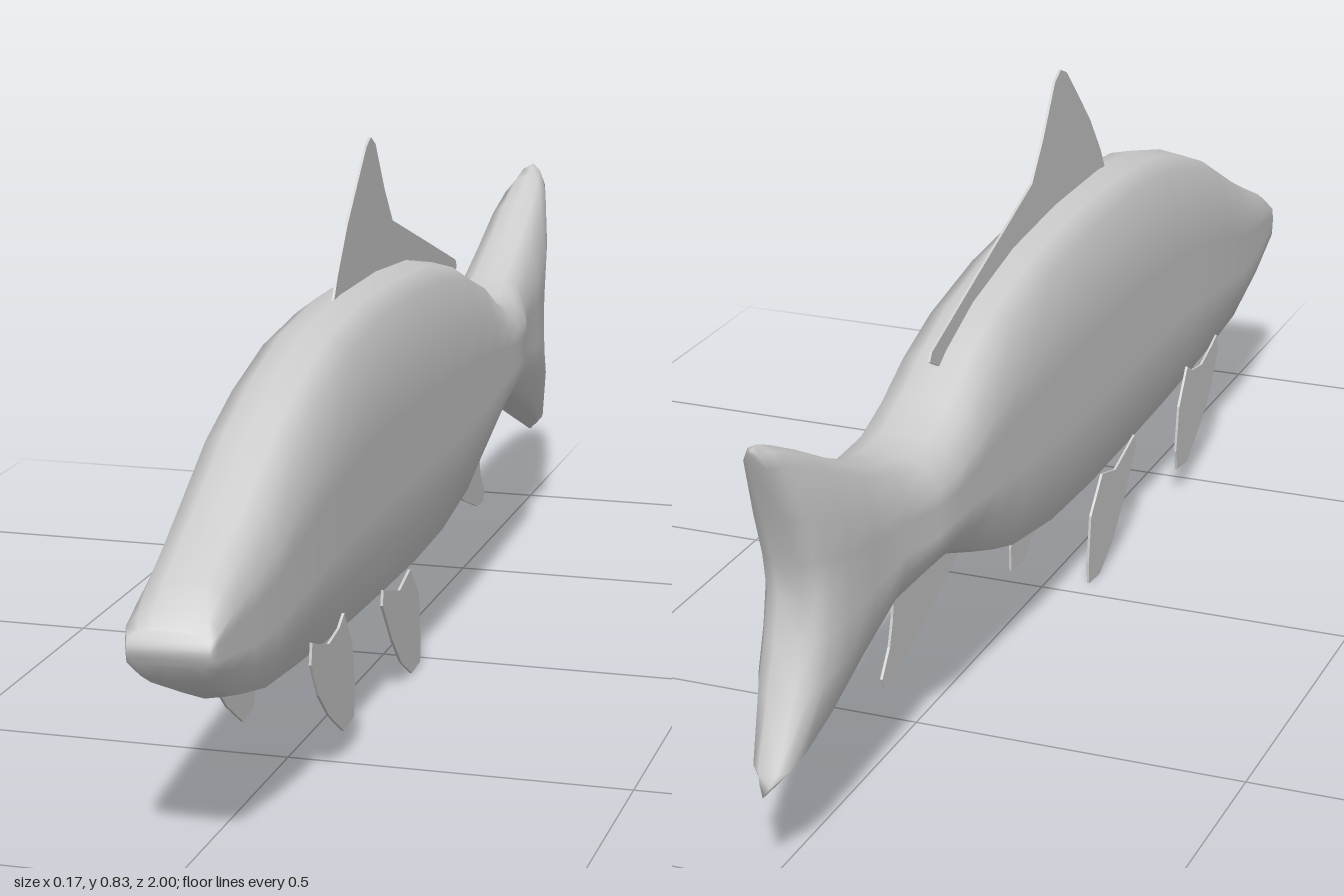
import * as THREE from 'three';

const material = new THREE.MeshStandardMaterial({ color: 0xcccccc, side: THREE.DoubleSide });

// Half cross-section, top to bottom: [share of half width, height from -1 to 1]
const HALF = [[0, 1], [0.42, 0.965], [0.76, 0.87], [1, 0.5], [1, 0.22], [1, 0], [1, -0.25],
  [1, -0.52], [0.74, -0.89], [0.4, -0.95], [0, -1]];

// Stations from nose to tail: [z, top, bottom, half width, forward bend of the middle]
const STATIONS = [
  [0.99, 0.335, 0.285, 0.056, 0.01],
  [0.975, 0.357, 0.262, 0.062, 0.012],
  [0.93, 0.385, 0.235, 0.066, 0],
  [0.86, 0.417, 0.203, 0.072, 0],
  [0.78, 0.455, 0.183, 0.078, 0],
  [0.66, 0.52, 0.172, 0.083, 0],
  [0.54, 0.566, 0.163, 0.085, 0],
  [0.4, 0.604, 0.153, 0.085, 0],
  [0.24, 0.62, 0.147, 0.085, 0],
  [0.05, 0.619, 0.143, 0.085, 0],
  [-0.12, 0.605, 0.15, 0.085, 0],
  [-0.28, 0.572, 0.178, 0.085, 0],
  [-0.38, 0.533, 0.217, 0.085, 0],
  [-0.46, 0.487, 0.258, 0.085, 0],
  [-0.53, 0.46, 0.281, 0.085, 0],
  [-0.6, 0.459, 0.283, 0.083, 0],
  [-0.67, 0.476, 0.266, 0.063, 0],
  [-0.78, 0.522, 0.226, 0.062, 0.01],
  [-0.88, 0.573, 0.18, 0.058, 0.04],
  [-0.95, 0.606, 0.147, 0.048, 0.075],
  [-0.985, 0.62, 0.131, 0.036, 0.09],
  [-1, 0.618, 0.128, 0.018, 0.098],
];

// Smooth skin lofted through the stations, with the tail fork made by the bend
function bodyGeometry() {
  const ring = [...HALF, ...HALF.slice(1, -1).reverse().map(([u, v]) => [-u, v])];
  const n = ring.length;
  const half = HALF.length - 1;
  const positions = [];
  const index = [];
  for (const [z, top, bottom, width, bend] of STATIONS) {
    for (const [u, v] of ring) {
      const y = (top + bottom) / 2 + v * (top - bottom) / 2;
      positions.push(u * width, y, z + bend * (1 - Math.abs(v) ** 1.4));
    }
  }
  for (let i = 0; i < STATIONS.length - 1; i++) {
    for (let j = 0; j < n; j++) {
      const a = i * n + j, b = i * n + (j + 1) % n;
      index.push(a, b, a + n, b, b + n, a + n);
    }
  }
  // Close the nose and the trailing edge with strips across the ring
  const last = (STATIONS.length - 1) * n;
  for (let j = 0; j < half; j++) {
    const a = j, b = (n - j) % n, c = n - j - 1, d = j + 1;
    index.push(a, b, c, a, c, d);
    index.push(last + a, last + c, last + b, last + a, last + d, last + c);
  }
  const geometry = new THREE.BufferGeometry();
  geometry.setAttribute('position', new THREE.Float32BufferAttribute(positions, 3));
  geometry.setIndex(index);
  geometry.computeVertexNormals();
  return geometry;
}

// Thin flat fin from an outline of [z, y] points, standing at a given x
function fin(name, outline, x) {
  const thickness = 0.004;
  const shape = new THREE.Shape(outline.map(([z, y]) => new THREE.Vector2(-z, y)));
  const geometry = new THREE.ExtrudeGeometry(shape, { depth: thickness, bevelEnabled: false });
  geometry.translate(0, 0, -thickness / 2).rotateY(Math.PI / 2);
  const mesh = new THREE.Mesh(geometry, material);
  mesh.name = name;
  mesh.position.x = x;
  return mesh;
}

const DORSAL = [[0.27, 0.615], [0.25, 0.65], [0.2, 0.715], [0.1, 0.815], [0.075, 0.826], [0.05, 0.812],
  [0, 0.735], [-0.045, 0.68], [-0.25, 0.61], [-0.43, 0.548], [-0.438, 0.535], [-0.39, 0.51], [0, 0.58]];
const ANAL = [[-0.32, 0.192], [-0.44, 0.26], [-0.5, 0.29], [-0.55, 0.255], [-0.558, 0.19], [-0.57, 0.15],
  [-0.598, 0.112], [-0.59, 0.095], [-0.55, 0.097], [-0.46, 0.13]];
const PECTORAL = [[0.63, 0.216], [0.6, 0.205], [0.55, 0.19], [0.5, 0.198], [0.475, 0.213], [0.435, 0.155],
  [0.422, 0.08], [0.43, 0.045], [0.48, 0.04], [0.55, 0.085], [0.6, 0.13], [0.635, 0.185]];
const PELVIC = [[0.24, 0.178], [0.2, 0.166], [0.15, 0.152], [0.09, 0.168], [0.04, 0.115], [0.03, 0.04],
  [0.032, 0.004], [0.08, 0], [0.14, 0.035], [0.19, 0.085], [0.245, 0.155]];

export function createModel() {
  const model = new THREE.Group();
  model.name = 'fish';
  const body = new THREE.Mesh(bodyGeometry(), material);
  body.name = 'bodyAndTail';
  model.add(body, fin('dorsalFin', DORSAL, 0), fin('analFin', ANAL, 0.01));
  // Paired fins below the flanks
  for (const [side, sign] of [['left', 1], ['right', -1]]) {
    model.add(fin(side + 'PectoralFin', PECTORAL, sign * 0.075));
    model.add(fin(side + 'PelvicFin', PELVIC, sign * 0.066));
  }
  return model;
}
